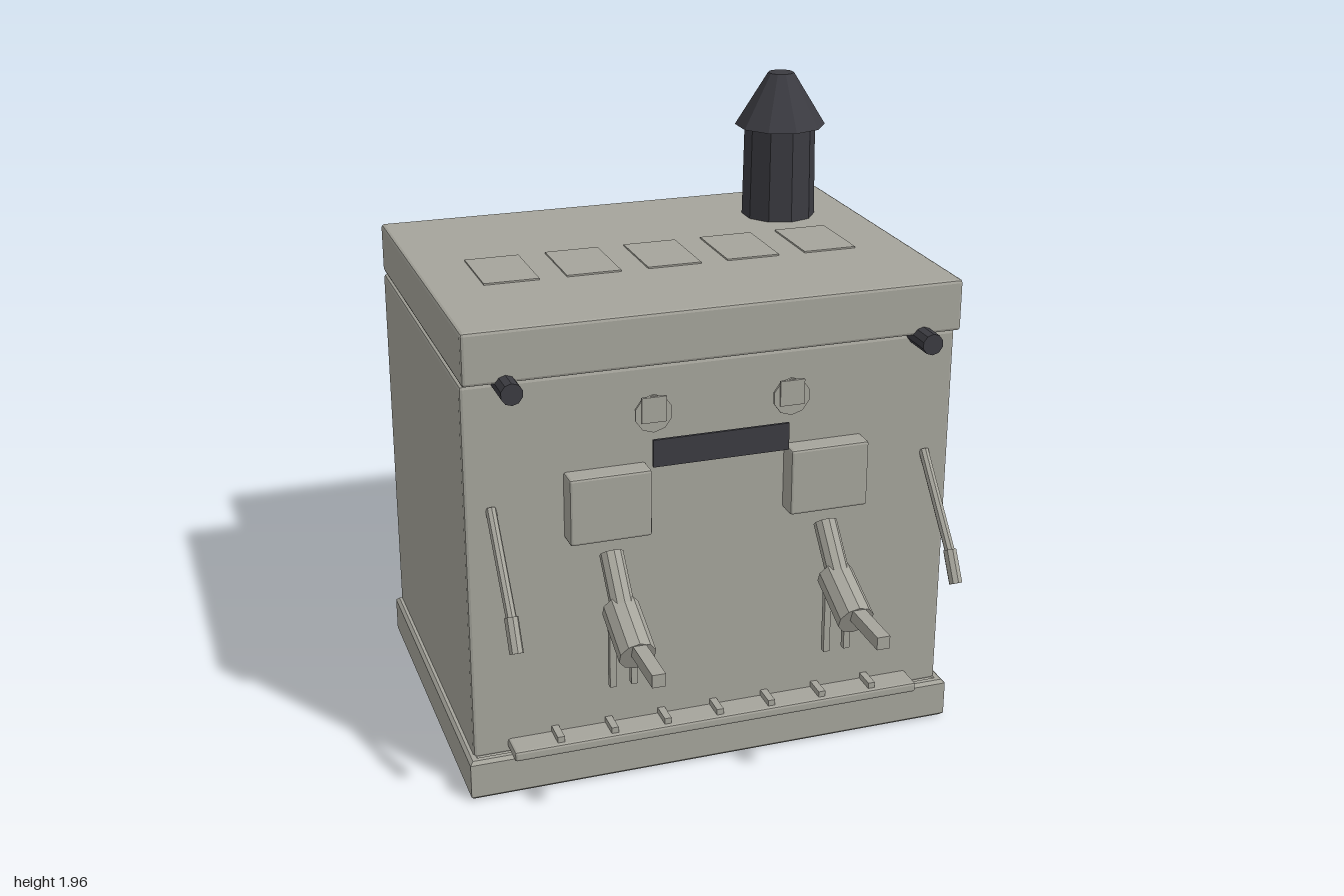
import * as THREE from 'three';
import { RoundedBoxGeometry } from 'three/addons/geometries/RoundedBoxGeometry.js';

const steel = new THREE.MeshStandardMaterial({ color: 0xa5a49b });
steel.name = 'steelGrey';
const dark = new THREE.MeshStandardMaterial({ color: 0x3b3b41 });
dark.name = 'darkGrey';

export function createModel() {
  const model = new THREE.Group();
  model.name = 'coffeeMachine';

  function add(name, geometry, material = steel) {
    const flat = geometry.index ? geometry.toNonIndexed() : geometry;
    flat.computeVertexNormals();
    const mesh = new THREE.Mesh(flat, material);
    mesh.name = name;
    model.add(mesh);
    return mesh;
  }

  // Box given by its limits, with an optional chamfer
  function box(name, [x0, x1], [y0, y1], [z0, z1], chamfer = 0, material = steel) {
    const size = [x1 - x0, y1 - y0, z1 - z0];
    const g = chamfer ? new RoundedBoxGeometry(...size, 1, chamfer) : new THREE.BoxGeometry(...size);
    g.translate((x0 + x1) / 2, (y0 + y1) / 2, (z0 + z1) / 2);
    return add(name, g, material);
  }

  // Straight round bar between two points
  function rod(name, from, to, r0, r1 = r0, sides = 10, material = steel) {
    const a = new THREE.Vector3(...from), b = new THREE.Vector3(...to);
    const dir = b.clone().sub(a);
    const g = new THREE.CylinderGeometry(r1, r0, dir.length(), sides);
    g.applyQuaternion(new THREE.Quaternion().setFromUnitVectors(new THREE.Vector3(0, 1, 0), dir.normalize()));
    const mid = a.add(b).multiplyScalar(0.5);
    g.translate(mid.x, mid.y, mid.z);
    return add(name, g, material);
  }

  // Hollow base skirt, open underneath
  const rect = (Type, x, z0, z1) => new Type().moveTo(-x, -z1).lineTo(x, -z1).lineTo(x, -z0).lineTo(-x, -z0).closePath();
  const outline = rect(THREE.Shape, 0.775, -0.58, 0.54);
  outline.holes.push(rect(THREE.Path, 0.76, -0.565, 0.525));
  const skirt = new THREE.ExtrudeGeometry(outline, {
    depth: 0.11, bevelEnabled: true, bevelThickness: 0.01, bevelSize: 0.01, bevelSegments: 1,
  });
  skirt.rotateX(-Math.PI / 2).translate(0, 0.01, 0);
  add('baseSkirt', skirt);
  box('floorPlate', [-0.765, 0.765], [0.11, 0.125], [-0.57, 0.53]);

  // Feet
  for (const x of [-0.64, 0.64]) for (const z of [-0.41, 0.37]) {
    rod('footStem', [x, 0.02, z], [x, 0.12, z], 0.025, 0.025, 10, dark);
    rod('footPad', [x, 0.002, z], [x, 0.035, z], 0.045, 0.04, 10, dark);
  }

  // Body and lid
  box('body', [-0.765, 0.765], [0.12, 1.32], [-0.59, 0.51], 0.01);
  box('lidSeam', [-0.75, 0.75], [1.31, 1.34], [-0.575, 0.5]);
  box('lid', [-0.765, 0.765], [1.33, 1.49], [-0.59, 0.55], 0.01);
  for (let i = 0; i < 5; i++) {
    const x = -0.6 + i * 0.255;
    box('lidPanel', [x, x + 0.17], [1.485, 1.495], [-0.1, 0.15]);
  }

  // Rear housing, open underneath
  const rear = new THREE.BoxGeometry(1.265, 1.14, 0.41);
  rear.setIndex([...rear.index.array].filter((_, i) => i < 18 || i >= 24));
  rear.translate(0, 0.75, -0.795);
  add('rearHousing', rear);
  box('rearHousingTop', [-0.59, 0.59], [1.31, 1.36], [-0.935, -0.6], 0.01);

  // Chimney
  rod('chimneyPipe', [0.51, 1.485, -0.3], [0.51, 1.79, -0.3], 0.12, 0.115, 10, dark);
  rod('chimneyCap', [0.51, 1.79, -0.3], [0.51, 1.96, -0.3], 0.147, 0.042, 10, dark);

  // Display between the two switch boxes
  box('display', [-0.213, 0.21], [1.025, 1.11], [0.56, 0.569], 0, dark);

  for (const s of [-1, 1]) {
    // Steam knob and wand
    rod('steamKnob', [s * 0.64, 1.323, 0.5], [s * 0.64, 1.323, 0.62], 0.033, 0.033, 10, dark);
    rod('steamWand', [s * 0.685, 0.935, 0.505], [s * 0.685, 0.67, 0.73], 0.016, 0.016, 8);
    rod('steamWandTip', [s * 0.685, 0.69, 0.715], [s * 0.685, 0.6, 0.767], 0.021, 0.021, 8);

    // Gauge and switch box
    const gx = s * 0.213;
    rod('gauge', [gx, 1.195, 0.566], [gx, 1.195, 0.574], 0.058, 0.058, 10);
    box('gaugeFace', [gx - 0.038, gx + 0.038], [1.17, 1.248], [0.572, 0.58]);
    const bx = s * 0.343;
    box('switchBox', [bx - 0.125, bx + 0.125], [0.81, 1.02], [0.5, 0.575], 0.008);

    // Brew head with handle and twin spouts
    const x = s * 0.34;
    rod('brewNeck', [x, 0.765, 0.557], [x, 0.61, 0.69], 0.036);
    rod('brewHead', [x, 0.627, 0.643], [x, 0.553, 0.807], 0.056);
    box('brewHandle', [x - 0.02, x + 0.02], [0.557, 0.597], [0.76, 1]);
    for (const d of [-0.033, 0.033]) {
      box('spout', [x + d - 0.01, x + d + 0.01], [0.385, 0.6], [0.655, 0.675]);
    }
  }

  // Drip tray rail with pegs
  box('dripTray', [-0.658, 0.658], [0.135, 0.168], [0.5, 0.595], 0.008);
  for (let i = -3; i <= 3; i++) {
    box('trayPeg', [i * 0.17 - 0.011, i * 0.17 + 0.011], [0.16, 0.187], [0.505, 0.58]);
  }

  return model;
}
